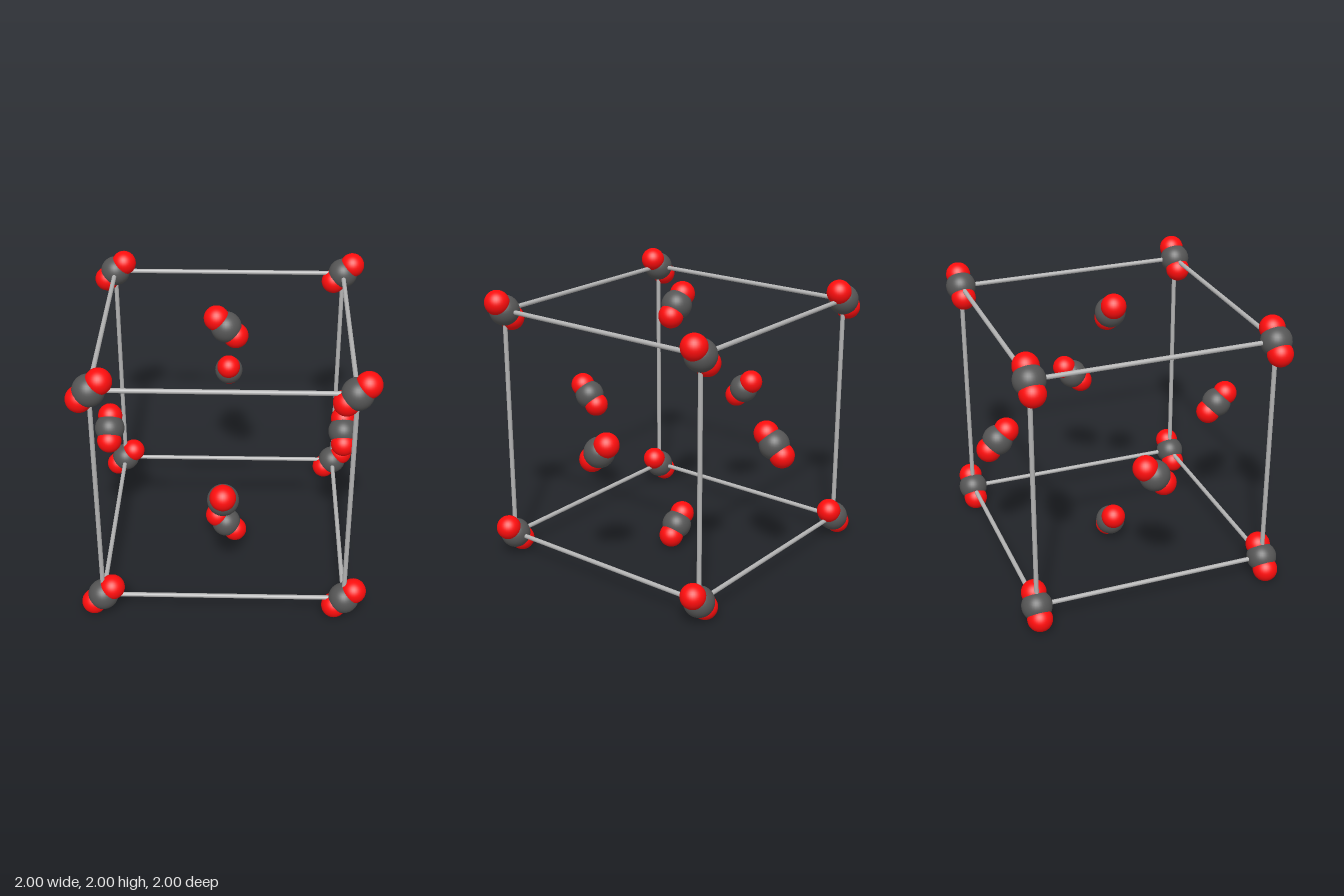
import * as THREE from 'three';

const H = 0.846;         // half the cell edge
const MID = 1;           // height of the cell centre
const OFFSET = 0.066;    // oxygen offset along each of its two axes

const carbonMat = new THREE.MeshStandardMaterial({ color: 0x555555 });
const oxygenMat = new THREE.MeshStandardMaterial({ color: 0xff0d0d });
const rodMat = new THREE.MeshStandardMaterial({ color: 0xb2b2b2 });

const carbonGeo = new THREE.SphereGeometry(0.107, 32, 20);
const oxygenGeo = new THREE.SphereGeometry(0.088, 32, 20);
const rodGeo = new THREE.CylinderGeometry(0.016, 0.016, 2 * H, 20);

// One carbon ball with an oxygen ball on either side along the axis
function molecule(name, position, axis) {
  const group = new THREE.Group();
  group.name = name;
  group.position.set(...position);
  const carbon = new THREE.Mesh(carbonGeo, carbonMat);
  carbon.name = 'carbon';
  group.add(carbon);
  for (const s of [-1, 1]) {
    const oxygen = new THREE.Mesh(oxygenGeo, oxygenMat);
    oxygen.name = 'oxygen';
    oxygen.position.set(...axis).multiplyScalar(s * OFFSET);
    group.add(oxygen);
  }
  return group;
}

function rod(name, position, rx, rz) {
  const mesh = new THREE.Mesh(rodGeo, rodMat);
  mesh.name = name;
  mesh.position.set(...position);
  mesh.rotation.set(rx, 0, rz);
  return mesh;
}

export function createModel() {
  const model = new THREE.Group();
  model.name = 'crystalCell';
  const signs = [-H, H];

  for (const a of signs) {
    // Molecules at the face centres, each pair with its own tilt
    model.add(molecule('horizontalFaceMolecule', [0, MID + a, 0], [-1, 1, 0]));
    model.add(molecule('frontBackFaceMolecule', [0, MID, a], [0, 1, 1]));
    model.add(molecule('sideFaceMolecule', [a, MID, 0], [0, 1, -1]));

    for (const b of signs) {
      // Twelve edge rods, four along each axis
      model.add(rod('edgeRodX', [0, MID + a, b], 0, Math.PI / 2));
      model.add(rod('edgeRodY', [a, MID, b], 0, 0));
      model.add(rod('edgeRodZ', [a, MID + b, 0], Math.PI / 2, 0));

      // Molecules at the corners
      for (const c of signs) {
        model.add(molecule('cornerMolecule', [a, MID + b, c], [1, 1, 0]));
      }
    }
  }
  return model;
}
